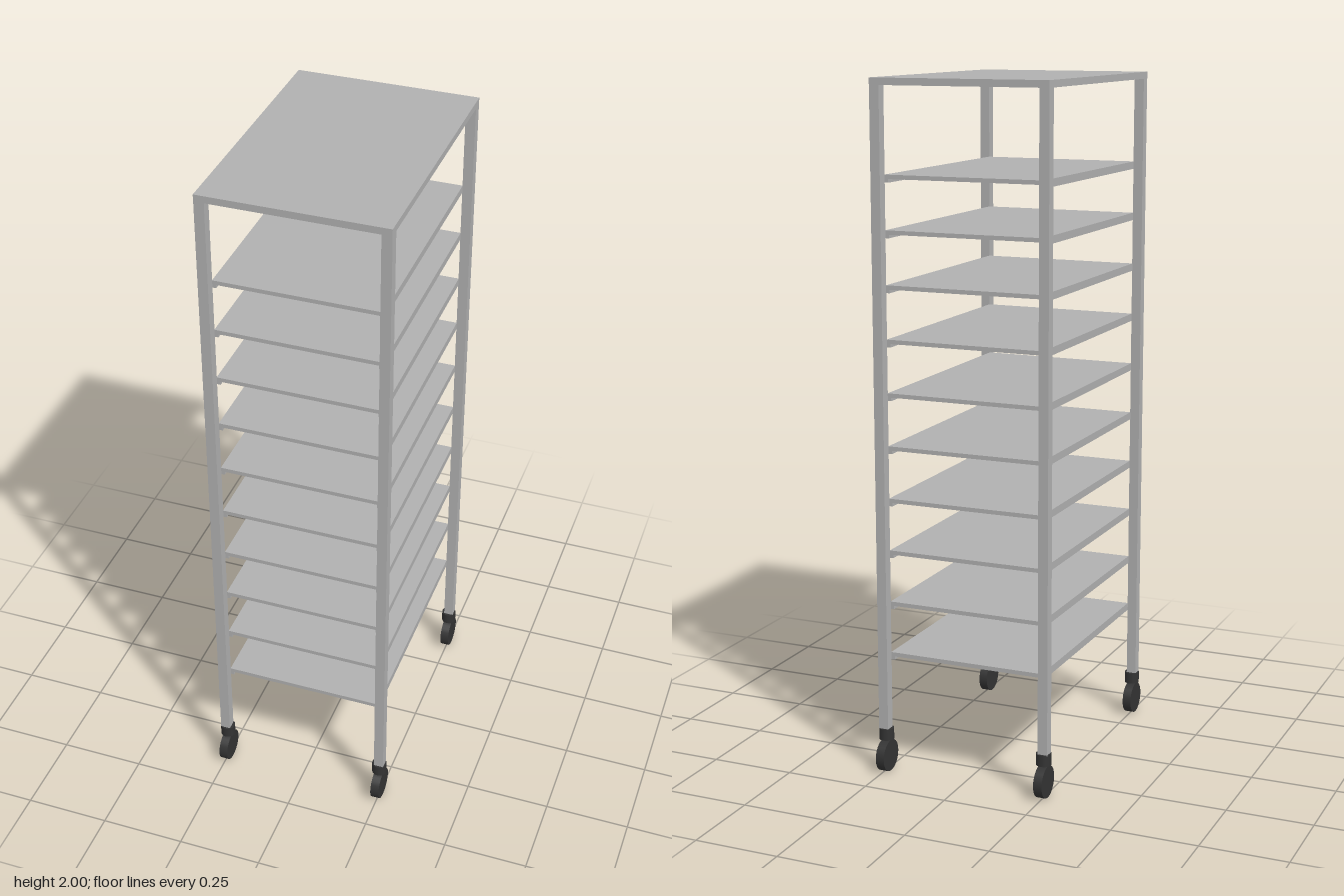
import * as THREE from 'three';

export function createModel() {
  const group = new THREE.Group();
  const steel = new THREE.MeshStandardMaterial({ color: 0xb0b0b0 });
  steel.name = 'brushed steel';
  const rubber = new THREE.MeshStandardMaterial({ color: 0x333333 });
  rubber.name = 'black rubber';

  const add = (name, geometry, material, x, y, z) => {
    const mesh = new THREE.Mesh(geometry, material);
    mesh.name = name;
    mesh.position.set(x, y, z);
    group.add(mesh);
    return mesh;
  };

  const postX = 0.25, postZ = 0.367, postSize = 0.029;
  const shelfCount = 10, firstShelf = 0.36, shelfStep = 0.153;

  // Top panel
  add('topPanel', new THREE.BoxGeometry(0.529, 0.02, 0.764), steel, 0, 1.99, 0);

  // Corner posts with casters
  const postGeometry = new THREE.BoxGeometry(postSize, 1.85, postSize);
  const mountGeometry = new THREE.CylinderGeometry(0.022, 0.022, 0.034, 20);
  const wheelGeometry = new THREE.CylinderGeometry(0.047, 0.047, 0.026, 24).rotateZ(Math.PI / 2);
  for (const sx of [-1, 1]) {
    for (const sz of [-1, 1]) {
      add('cornerPost', postGeometry, steel, sx * postX, 1.055, sz * postZ);
      add('casterMount', mountGeometry, rubber, sx * 0.248, 0.115, sz * 0.366);
      add('casterWheel', wheelGeometry, rubber, sx * 0.248, 0.047, sz * 0.366);
    }
  }

  // Shelves, each resting on a pair of side rails
  const shelfGeometry = new THREE.BoxGeometry(0.472, 0.012, 0.706);
  const railGeometry = new THREE.BoxGeometry(0.011, 0.01, 0.706);
  for (let i = 0; i < shelfCount; i++) {
    const top = firstShelf + i * shelfStep;
    add('shelf', shelfGeometry, steel, 0, top - 0.006, 0);
    for (const sx of [-1, 1]) {
      add('shelfRail', railGeometry, steel, sx * 0.2305, top - 0.017, 0);
    }
  }
  return group;
}
